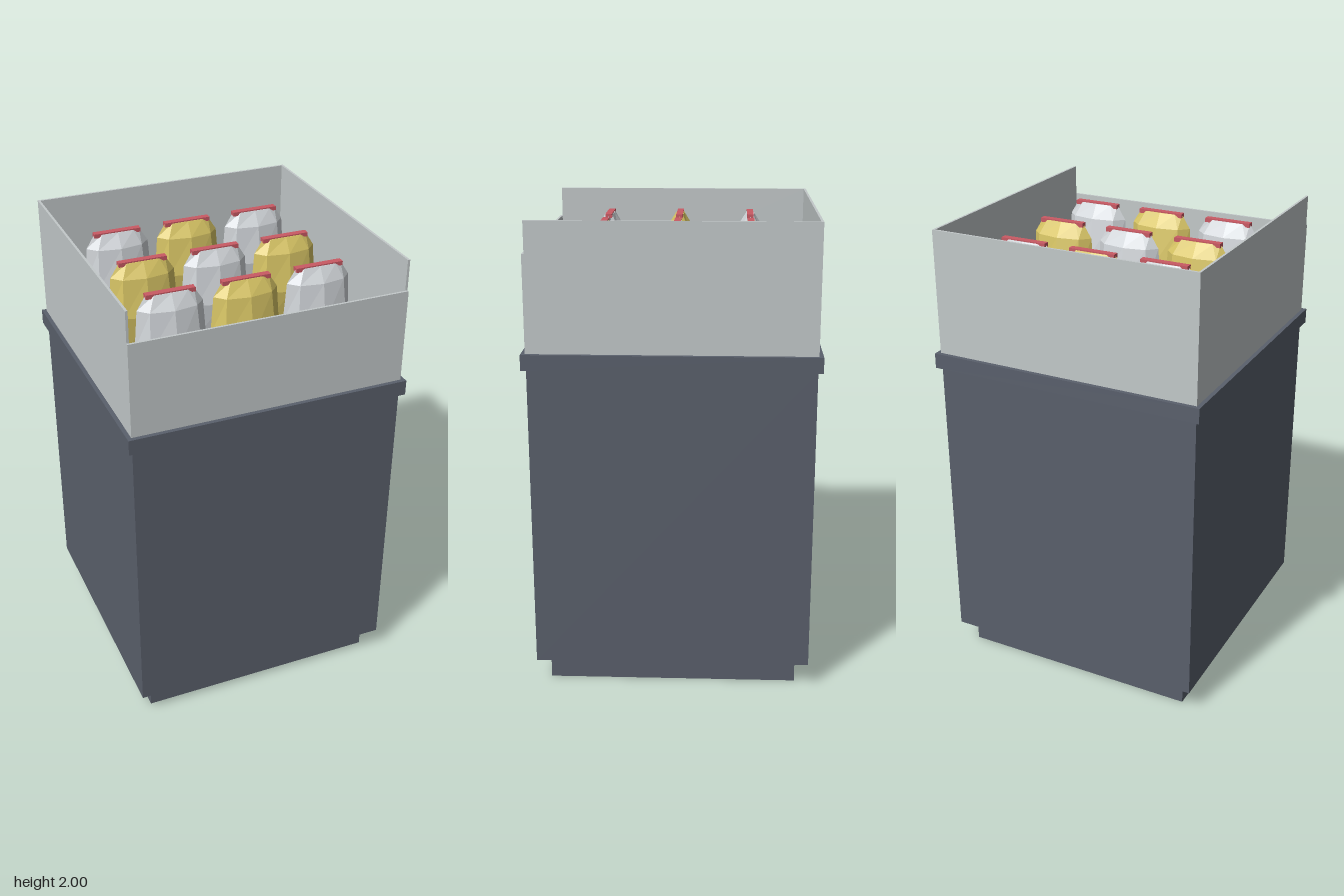
import * as THREE from 'three';

const material = (name, color, flatShading = false) => {
  const m = new THREE.MeshStandardMaterial({ color, flatShading });
  m.name = name;
  return m;
};

// Pillow bag cross-sections from bottom to top: [height, half width, half depth]
const BAG_RINGS = [
  [1.475, 0.1, 0.02],
  [1.54, 0.138, 0.058],
  [1.695, 0.151, 0.086],
  [1.858, 0.138, 0.058],
  [1.918, 0.1, 0.02],
];

function bagGeometry() {
  const geometry = new THREE.CylinderGeometry(1, 1, 1, 8, 4);
  const p = geometry.attributes.position;
  for (let i = 0; i < p.count; i++) {
    const [y, rx, rz] = BAG_RINGS[Math.round((p.getY(i) + 0.5) * 4)];
    p.setXYZ(i, p.getX(i) * rx, y, p.getZ(i) * rz);
  }
  geometry.computeVertexNormals();
  return geometry;
}

export function createModel() {
  const model = new THREE.Group();
  model.name = 'displayBin';

  const slate = material('slate', 0x5a606c);
  const panel = material('paleGrey', 0xc3c9ca);
  const silver = material('silver', 0xd0d4d8, true);
  const gold = material('gold', 0xd8c565, true);
  const red = material('red', 0xca5a64);

  // Box given by its size, bottom height and centre
  const box = (name, mat, w, h, d, bottom, x = 0, z = 0, parent = model) => {
    const mesh = new THREE.Mesh(new THREE.BoxGeometry(w, h, d), mat);
    mesh.name = name;
    mesh.position.set(x, bottom + h / 2, z);
    parent.add(mesh);
    return mesh;
  };

  // Cabinet
  box('plinth', slate, 1.06, 0.11, 1.06, 0);
  box('cabinetBody', slate, 1.17, 1.3, 1.17, 0.105);
  box('rim', slate, 1.21, 0.065, 1.21, 1.403);

  // Tray floor and upright panels, the front one lower
  box('trayFloor', panel, 1.155, 0.008, 1.155, 1.467);
  box('frontPanel', panel, 1.174, 0.402, 0.01, 1.467, 0, 0.582);
  box('backPanel', panel, 1.174, 0.533, 0.01, 1.467, 0, -0.582);
  box('leftPanel', panel, 0.01, 0.533, 1.154, 1.467, 0.582, 0);
  box('rightPanel', panel, 0.01, 0.533, 1.154, 1.467, -0.582, 0);

  // Three by three bags in alternating colours, each with a sealed top strip
  const bagShape = bagGeometry();
  for (let row = -1; row <= 1; row++) {
    for (let col = -1; col <= 1; col++) {
      const bag = new THREE.Group();
      bag.name = 'bag';
      bag.position.set(col * 0.32, 0, row * 0.32);
      const body = new THREE.Mesh(bagShape, (row + col) % 2 === 0 ? silver : gold);
      body.name = 'bagBody';
      bag.add(body);
      box('bagSeal', red, 0.206, 0.018, 0.029, 1.905, 0, 0, bag);
      model.add(bag);
    }
  }
  return model;
}
